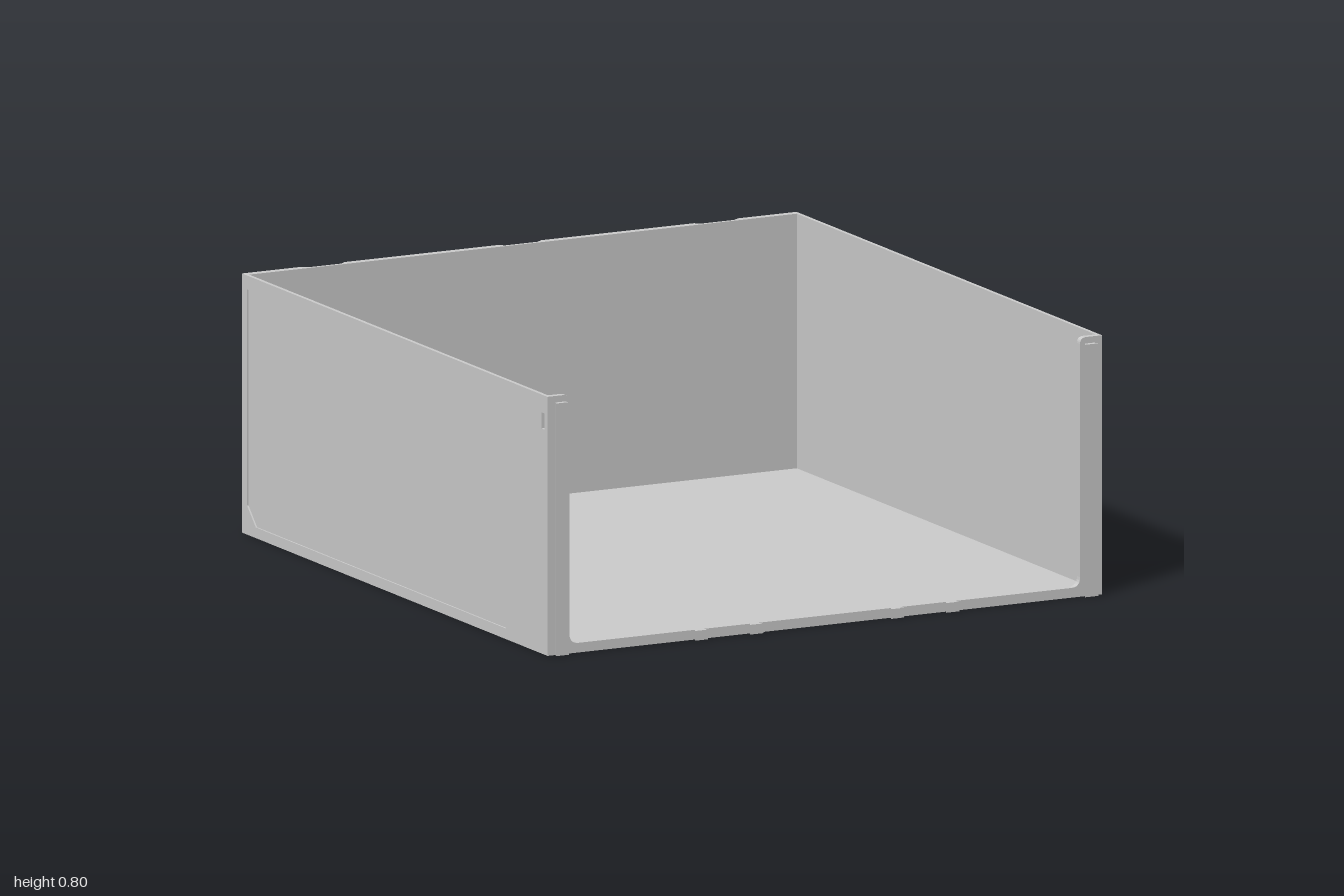
import * as THREE from 'three';

const W = 0.945, H = 0.8, FRONT = 0.985, WALL = 0.012;
const material = new THREE.MeshStandardMaterial({ color: 0xcccccc, flatShading: true });

const v = (pts) => pts.map(([x, y]) => new THREE.Vector2(x, y));
const rect = (x0, y0, x1, y1) => [[x0, y0], [x1, y0], [x1, y1], [x0, y1]];

function plate(outline, holes = []) {
  const shape = new THREE.Shape(v(outline));
  shape.holes = holes.map((h) => new THREE.Path(v(h)));
  return shape;
}

function extrude(shape, depth) {
  return new THREE.ExtrudeGeometry(shape, { depth, bevelEnabled: false, curveSegments: 6 });
}

function add(parent, name, geometry, x = 0, y = 0, z = 0) {
  const mesh = new THREE.Mesh(geometry, material);
  mesh.name = name;
  mesh.position.set(x, y, z);
  parent.add(mesh);
  return mesh;
}

// Sloping sides of a recess, from its rim down to its smaller floor
function slopes(rim, floor, zRim, zFloor, edges) {
  const pos = [];
  for (const i of edges) {
    const j = (i + 1) % rim.length;
    const a = [...rim[i], zRim], b = [...rim[j], zRim];
    const c = [...floor[j], zFloor], d = [...floor[i], zFloor];
    pos.push(...a, ...b, ...c, ...a, ...c, ...d);
  }
  const g = new THREE.BufferGeometry();
  g.setAttribute('position', new THREE.Float32BufferAttribute(pos, 3));
  g.computeVertexNormals();
  return g;
}

function sideWalls(group) {
  const outline = rect(-1, 0, FRONT, H);
  const slot = rect(0.945, 0.695, 0.965, 0.745);
  const panel = [[0.91, 0.23], [0.91, 0.695], [0.855, 0.757], [-0.967, 0.757],
    [-0.967, 0.09], [-0.91, 0.033], [0.715, 0.033]];
  const skin = 0.005;
  const outer = extrude(plate(outline, [panel, slot]), skin).rotateY(-Math.PI / 2);
  const inner = extrude(plate(outline, [slot]), WALL - skin).rotateY(-Math.PI / 2);
  for (const [side, s] of [['left', 1], ['right', -1]]) {
    add(group, side + 'WallFrame', outer, s > 0 ? W : -W + skin);
    add(group, side + 'Wall', inner, s > 0 ? W - skin : -W + WALL);
  }
}

function backWall() {
  // Built facing +z, then turned to the back
  const back = new THREE.Group();
  back.name = 'backWall';
  const floorZ = 0.985, slope = 0.02, nHalf = 0.075, nBottom = 0.63;
  const pockets = [[0, 0.06, 0.6]];
  for (const s of [-1, 1]) {
    pockets.push([s * 0.33, 0.25, 0.755], [s * 0.667, 0.068, 0.6], [s * 0.837, 0.083, 0.765]);
  }
  const notches = [0.67, 0, -0.67];

  add(back, 'backPanel', new THREE.BoxGeometry(2 * W, H, 0.01), 0, H / 2, 0.98);

  const outline = [[-W, 0], [W, 0], [W, H]];
  const cap = [[-W, -1], [-W, -floorZ], [W, -floorZ], [W, -1]];
  for (const c of notches) {
    outline.push([c + nHalf, H], [c + nHalf, nBottom], [c - nHalf, nBottom], [c - nHalf, H]);
    cap.push([c + nHalf, -1], [c + nHalf - slope, -floorZ - 0.0005],
      [c - nHalf + slope, -floorZ - 0.0005], [c - nHalf, -1]);
  }
  outline.push([-W, H]);

  const rims = pockets.map(([c, h, top]) => rect(c - h, 0.018, c + h, top));
  add(back, 'backRibs', new THREE.ShapeGeometry(plate(outline, rims)), 0, 0, 1);
  add(back, 'backRibTops', new THREE.ShapeGeometry(plate(cap)).rotateX(-Math.PI / 2), 0, H, 0);

  pockets.forEach(([c, h, top], i) => {
    const floor = rect(c - h + slope, 0.05, c + h - slope, top - slope);
    add(back, 'pocketSides', slopes(rims[i], floor, 1, floorZ, [0, 1, 2, 3]));
  });
  for (const c of notches) {
    const rim = rect(c - nHalf, nBottom, c + nHalf, H);
    const floor = rect(c - nHalf + slope, nBottom + slope, c + nHalf - slope, H);
    add(back, 'notchSides', slopes(rim, floor, 1, floorZ, [0, 1, 3]));
  }
  back.rotation.y = Math.PI;
  return back;
}

function frontFrame(group) {
  // U-shaped flange around the open front
  const x = 0.87, y = 0.03, r = 0.03;
  const u = new THREE.Shape();
  u.moveTo(-W, 0);
  u.lineTo(W, 0);
  u.lineTo(W, H);
  u.lineTo(x + 0.02, H);
  u.quadraticCurveTo(x, H, x, H - 0.02);
  u.lineTo(x, y + r);
  u.quadraticCurveTo(x, y, x - r, y);
  u.lineTo(-x + r, y);
  u.quadraticCurveTo(-x, y, -x, y + r);
  u.lineTo(-x, H - 0.02);
  u.quadraticCurveTo(-x, H, -x - 0.02, H);
  u.lineTo(-W, H);
  add(group, 'frontFlange', extrude(u, 0.02), 0, 0, 0.965);

  // Dovetail rails and tabs, wider at the outer face
  const dovetail = (height) => extrude(
    plate([[-0.015, 0], [-0.0225, -0.015], [0.0225, -0.015], [0.015, 0]]), height,
  ).rotateX(-Math.PI / 2);
  const rail = dovetail(0.78), tab = dovetail(0.03);
  for (const s of [-1, 1]) {
    add(group, 'frontRail', rail, s * 0.902, 0, FRONT);
    for (const c of [0.24, 0.428]) add(group, 'frontTab', tab, s * c, 0, FRONT);
  }
}

export function createModel() {
  const group = new THREE.Group();
  group.name = 'openFrontBin';
  add(group, 'floor', new THREE.BoxGeometry(2 * W, 0.014, 1 + FRONT), 0, 0.007, (FRONT - 1) / 2);
  sideWalls(group);
  group.add(backWall());
  frontFrame(group);
  return group;
}
